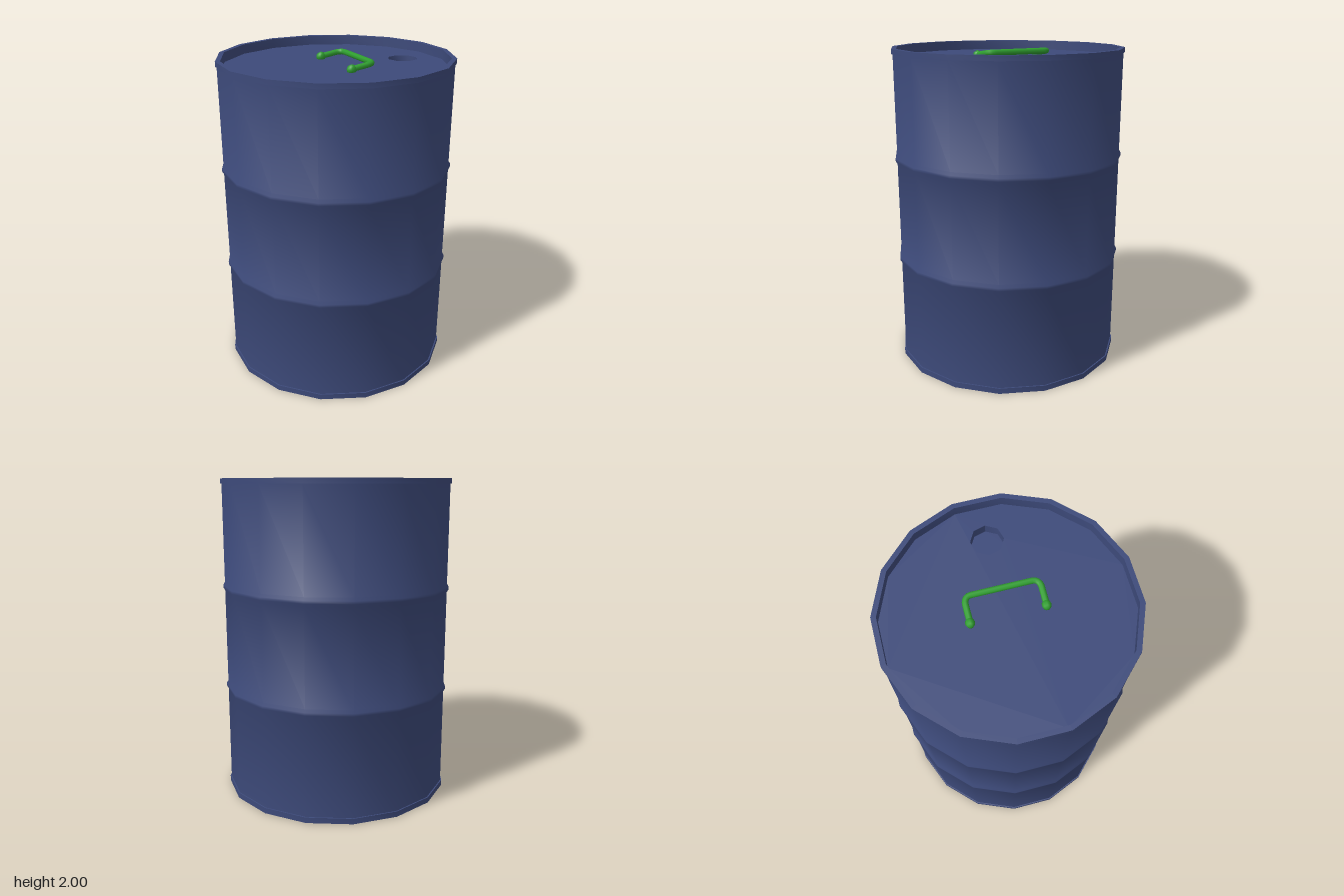
import * as THREE from 'three';
import { toCreasedNormals } from 'three/addons/utils/BufferGeometryUtils.js';

const SIDES = 16;
const TURN = Math.PI / SIDES; // puts flat facets on the four main directions
const LID_Y = 1.94;
const blue = new THREE.MeshStandardMaterial({ color: 0x3d4a7a });
const green = new THREE.MeshStandardMaterial({ color: 0x2f9e2f });

function mesh(name, geometry, material = blue) {
  const m = new THREE.Mesh(geometry, material);
  m.name = name;
  return m;
}

// Corners of a regular polygon
function polygon(sides, radius, turn, cx = 0) {
  return Array.from({ length: sides }, (_, i) => {
    const a = turn + (i / sides) * Math.PI * 2;
    return new THREE.Vector2(cx + radius * Math.cos(a), radius * Math.sin(a));
  });
}

export function createModel() {
  const drum = new THREE.Group();
  drum.name = 'drum';

  // Shell: bottom rim, wall with two rolled hoops, top rim
  const R = 0.716, RIM = 0.724, INNER = 0.694;
  const hoop = (y) => [[R, y - 0.027], [0.727, y - 0.009], [0.727, y + 0.009], [R, y + 0.027]];
  const profile = [
    [INNER, 0.06], [INNER, 0], [RIM, 0], [RIM, 0.035], [R, 0.035],
    ...hoop(0.68), ...hoop(1.33),
    [R, 1.97], [RIM, 1.97], [RIM, 2], [INNER, 2], [INNER, LID_Y],
  ].map(([x, y]) => new THREE.Vector2(x, y));
  const shell = new THREE.LatheGeometry(profile, SIDES, TURN);
  drum.add(mesh('shell', toCreasedNormals(shell, 0.7)));

  // Recessed bottom
  const bottom = new THREE.ShapeGeometry(new THREE.Shape(polygon(SIDES, INNER, TURN)));
  bottom.rotateX(Math.PI / 2).translate(0, 0.06, 0);
  drum.add(mesh('bottom', bottom));

  // Recessed lid with the filler opening
  const opening = polygon(8, 0.095, -0.12, 0.472);
  const lidShape = new THREE.Shape(polygon(SIDES, INNER, TURN));
  lidShape.holes.push(new THREE.Path(opening));
  const lid = new THREE.ShapeGeometry(lidShape);
  lid.rotateX(-Math.PI / 2).translate(0, LID_Y, 0);
  drum.add(mesh('lid', lid));

  // Filler well: inward-facing wall and floor
  const depth = 0.06;
  const wall = new THREE.CylinderGeometry(0.095, 0.095, depth, 8, 1, true, Math.PI / 2 - 0.12);
  wall.scale(-1, 1, 1).rotateY(Math.PI);
  const index = wall.index.array;
  for (let i = 0; i < index.length; i += 3) [index[i], index[i + 1]] = [index[i + 1], index[i]];
  // Mirroring twists the corners, so realign them with the opening
  const p = wall.attributes.position;
  for (let i = 0; i < p.count; i++) {
    const corner = opening[(i % 9) % 8];
    p.setXYZ(i, corner.x, i < 9 ? LID_Y : LID_Y - depth, -corner.y);
  }
  wall.computeVertexNormals();
  const wellWall = mesh('fillerWall', wall, blue.clone());
  wellWall.material.side = THREE.DoubleSide;
  const floor = new THREE.ShapeGeometry(new THREE.Shape(opening));
  floor.rotateX(-Math.PI / 2).translate(0, LID_Y - depth, 0);
  drum.add(wellWall, mesh('fillerFloor', floor));

  // Bail handle with rounded corners, resting just above the lid
  const handle = new THREE.Group();
  handle.name = 'handle';
  const v = (x, y, z) => new THREE.Vector3(x, y, z);
  const X = 0.147, Z = 0.21, Y = 1.978;
  const path = new THREE.CurvePath();
  path.add(new THREE.LineCurve3(v(0, 1.957, -Z), v(0.1, 1.972, -Z)));
  path.add(new THREE.QuadraticBezierCurve3(v(0.1, 1.972, -Z), v(X, Y, -Z), v(X, Y, -0.165)));
  path.add(new THREE.LineCurve3(v(X, Y, -0.165), v(X, Y, 0.165)));
  path.add(new THREE.QuadraticBezierCurve3(v(X, Y, 0.165), v(X, Y, Z), v(0.1, 1.972, Z)));
  path.add(new THREE.LineCurve3(v(0.1, 1.972, Z), v(0, 1.957, Z)));
  handle.add(mesh('handleBar', new THREE.TubeGeometry(path, 48, 0.018, 8), green));

  // Knobs holding the handle ends
  for (const side of [-1, 1]) {
    const knob = new THREE.SphereGeometry(0.03, 8, 6);
    knob.rotateZ(Math.PI / 2).scale(1, 1, 0.9).translate(0, 1.955, side * Z);
    handle.add(mesh('handleKnob', knob, green));
  }
  drum.add(handle);
  return drum;
}
